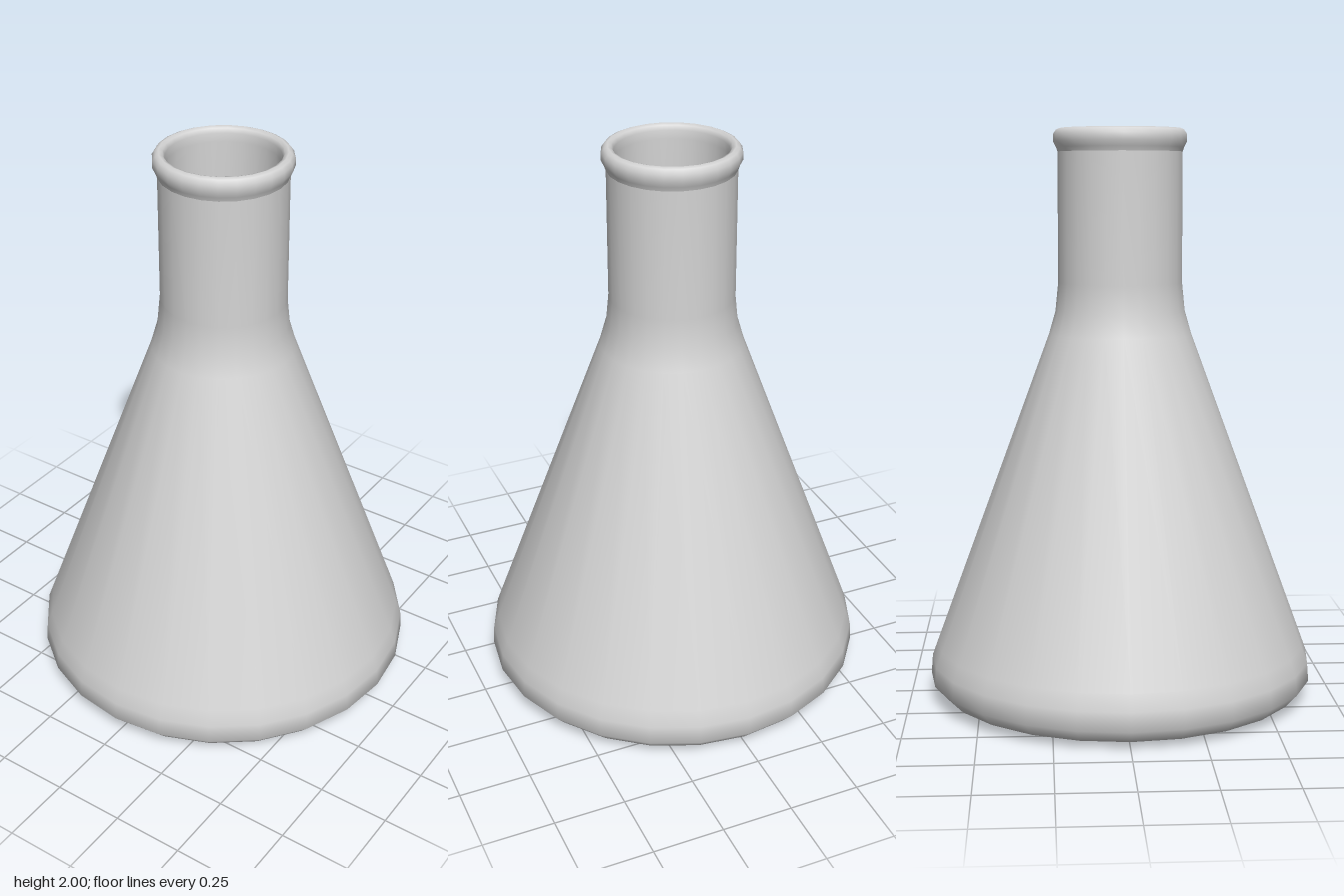
import * as THREE from 'three';

const SIDES = 24;

function lathe(name, profile, material) {
  const points = profile.map(([r, y]) => new THREE.Vector2(r, y));
  const mesh = new THREE.Mesh(new THREE.LatheGeometry(points, SIDES), material);
  mesh.name = name;
  return mesh;
}

export function createModel() {
  const group = new THREE.Group();
  group.name = 'conicalFlask';
  const glass = new THREE.MeshStandardMaterial({ color: 0xd4d4d4 });
  glass.name = 'pale grey glass';

  // Outer wall: flat base, rounded heel, cone, curved shoulder, neck
  group.add(lathe('outerWall', [
    [0, 0], [0.54, 0], [0.57, 0.005], [0.64, 0.025], [0.68, 0.07], [0.675, 0.135],
    [0.655, 0.19], [0.25, 1.29], [0.227, 1.37], [0.217, 1.47], [0.217, 1.92],
  ], glass));

  // Rolled lip around the mouth
  group.add(lathe('lip', [
    [0.217, 1.92], [0.222, 1.935], [0.232, 1.955], [0.232, 1.98], [0.222, 1.995],
    [0.21, 2], [0.197, 1.995], [0.19, 1.98], [0.19, 1.95],
  ], glass));

  // Inner wall and floor, facing the hollow
  group.add(lathe('innerWall', [
    [0.19, 1.95], [0.19, 1.47], [0.2, 1.37], [0.223, 1.29], [0.63, 0.185],
    [0.65, 0.13], [0.65, 0.08], [0.62, 0.05], [0.56, 0.03], [0.53, 0.03], [0, 0.03],
  ], glass));

  return group;
}
